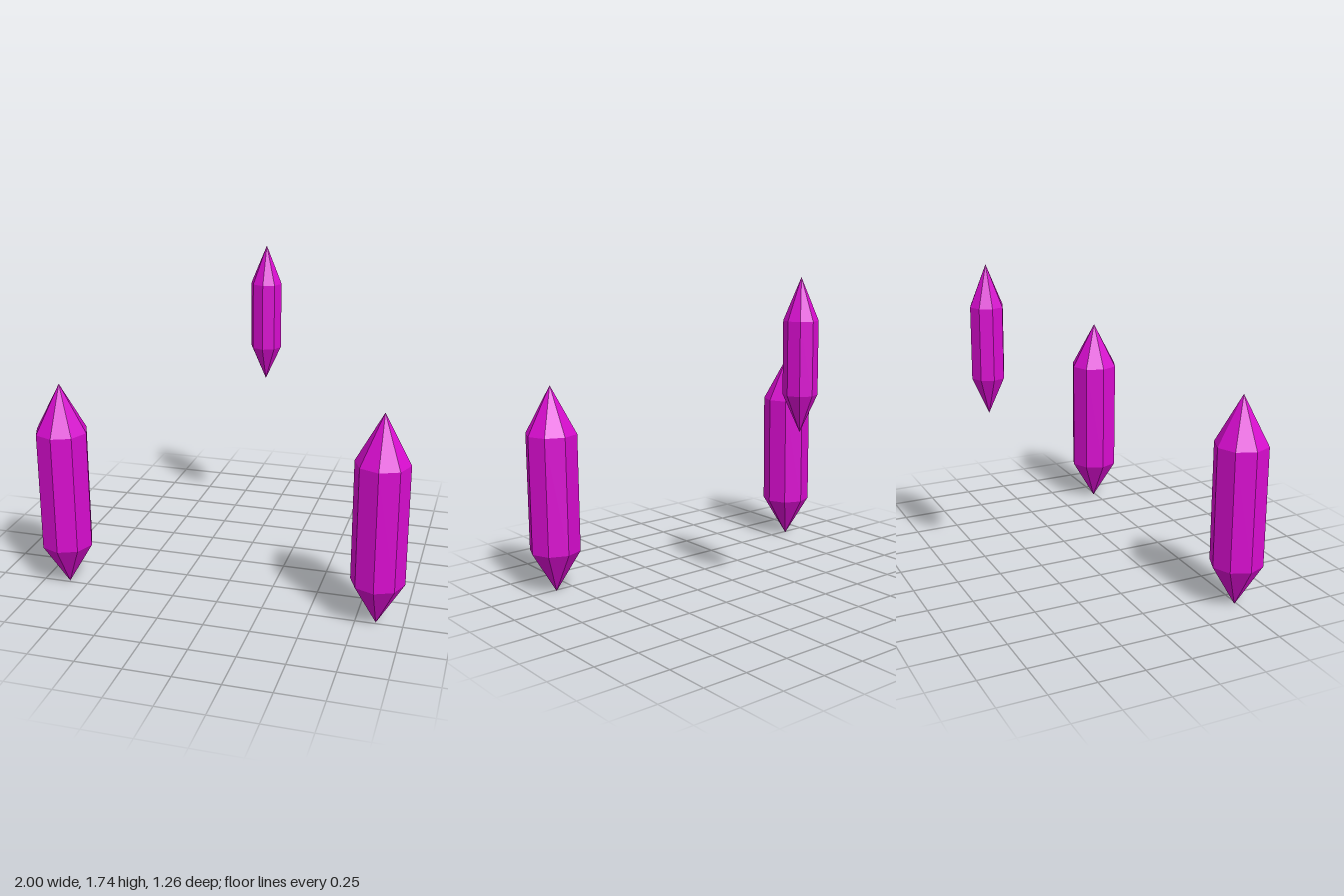
import * as THREE from 'three';

const magenta = new THREE.MeshStandardMaterial({ color: 0xd80ccf, flatShading: true });
magenta.name = 'magenta crystal';

// Eight-sided prism with a point at each end; heights run from bottom tip to top tip
function crystal(name, radius, [bottom, lower, upper, top], x, z) {
  const profile = [[0, bottom], [radius, lower], [radius, upper], [0, top]]
    .map(([r, y]) => new THREE.Vector2(r, y));
  const mesh = new THREE.Mesh(new THREE.LatheGeometry(profile, 8), magenta);
  mesh.name = name;
  mesh.position.set(x, 0, z);
  return mesh;
}

export function createModel() {
  const group = new THREE.Group();
  group.name = 'floatingCrystals';

  // Pair of large crystals at the front
  for (const [name, side] of [['leftCrystal', 1], ['rightCrystal', -1]]) {
    group.add(crystal(name, 0.142, [0, 0.238, 0.89, 1.152], side * 0.858, 0.487));
  }

  // Small raised crystal at the back
  group.add(crystal('backCrystal', 0.089, [0.948, 1.145, 1.522, 1.738], 0, -0.54));
  return group;
}
